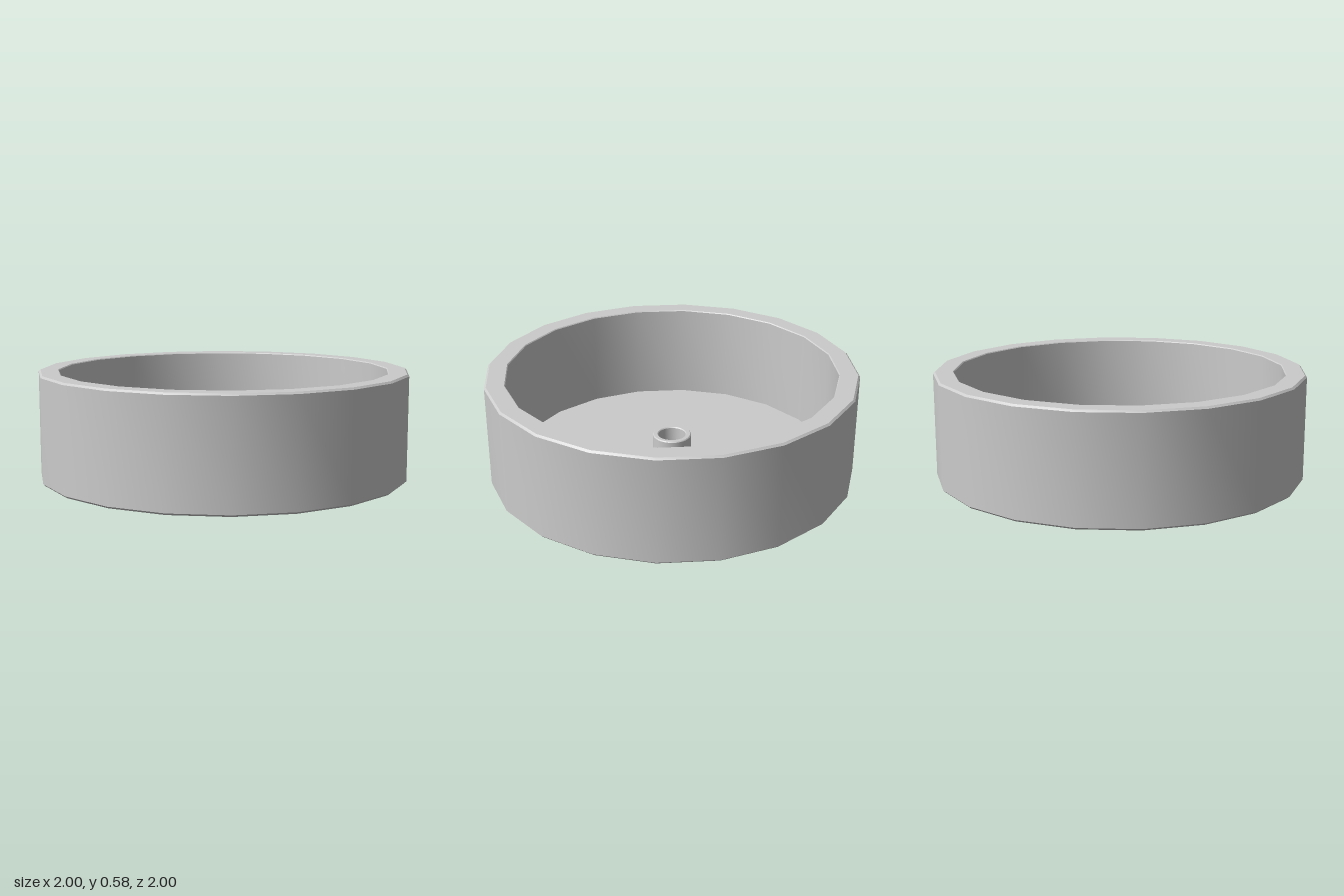
import * as THREE from 'three';
import { toCreasedNormals } from 'three/addons/utils/BufferGeometryUtils.js';

const material = new THREE.MeshStandardMaterial({ color: 0xcccccc });

// Revolve a profile of [radius, height] pairs, keeping its corners sharp
function revolve(name, profile, sides, startDegrees = 0) {
  const points = profile.map(([r, y]) => new THREE.Vector2(r, y));
  const start = THREE.MathUtils.degToRad(startDegrees);
  const geometry = new THREE.LatheGeometry(points, sides, start);
  const mesh = new THREE.Mesh(toCreasedNormals(geometry, 0.6), material);
  mesh.name = name;
  return mesh;
}

export function createModel() {
  const group = new THREE.Group();
  group.name = 'basin';

  const outer = 1.003, inner = 0.893, height = 0.577, floor = 0.04, bevel = 0.01;

  // Round dish: underside, outer wall, bevelled rim, inner wall and floor
  group.add(revolve('dish', [
    [0, 0], [outer - bevel, 0], [outer, bevel],
    [outer, height - bevel], [outer - bevel, height],
    [inner + bevel / 2, height], [inner, height - bevel / 2],
    [inner, floor], [0, floor],
  ], 20, 12.5));

  // Short open tube standing in the middle of the floor
  const tubeTop = 0.19, tubeOuter = 0.105, tubeInner = 0.075;
  group.add(revolve('centreTube', [
    [tubeOuter, floor], [tubeOuter, tubeTop - 0.005], [tubeOuter - 0.005, tubeTop],
    [tubeInner + 0.005, tubeTop], [tubeInner, tubeTop - 0.005], [tubeInner, floor],
  ], 32));

  return group;
}
